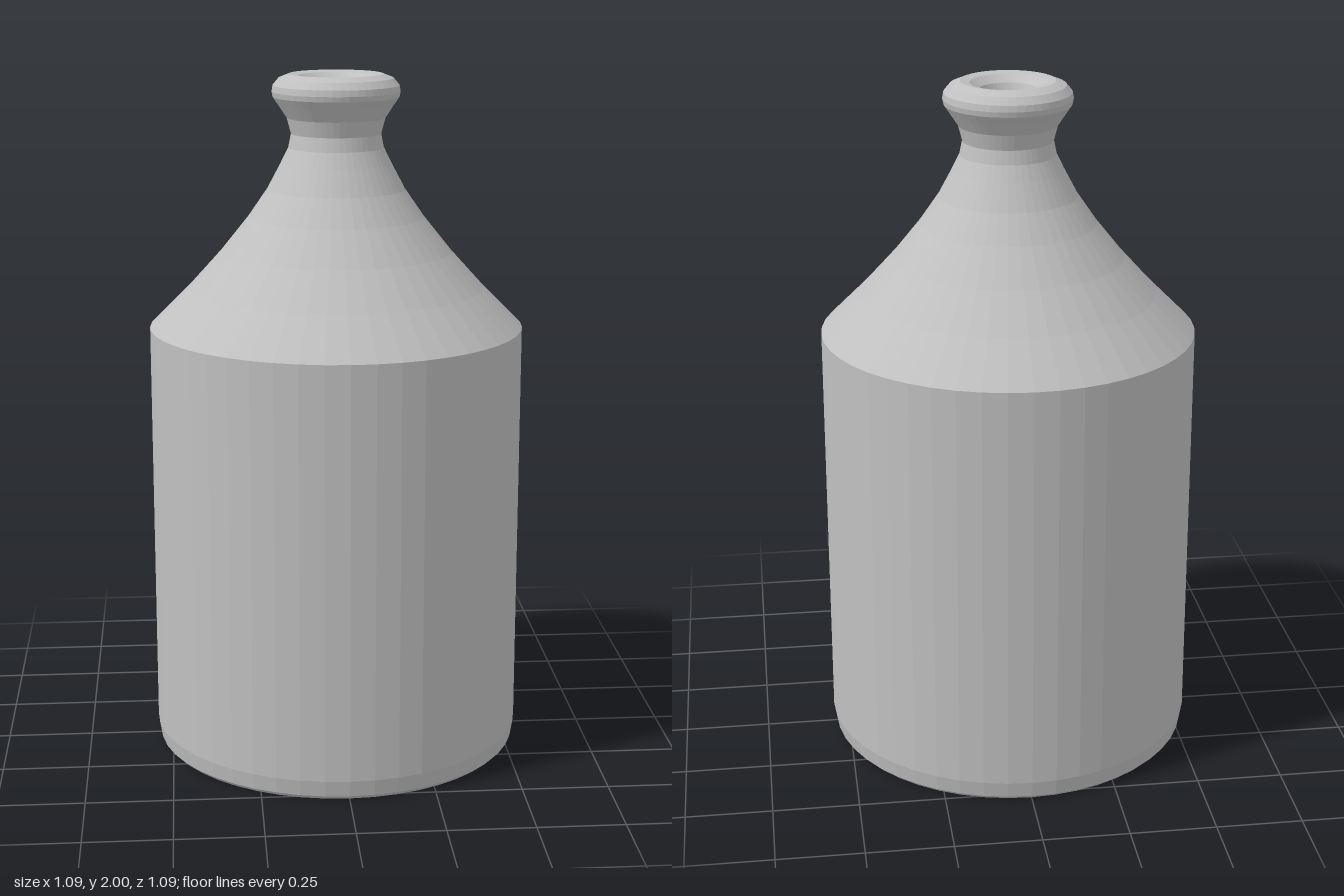
import * as THREE from 'three';

const SEGMENTS = 48;

export function createModel() {
  const group = new THREE.Group();
  group.name = 'bottle';

  const stoneware = new THREE.MeshStandardMaterial({ color: 0xc0c0c0, flatShading: true });
  stoneware.name = 'grey stoneware';

  // Turn a profile of [radius, height] pairs, listed along the outside upward
  const turn = (name, profile) => {
    const points = profile.map(([r, y]) => new THREE.Vector2(r, y));
    const mesh = new THREE.Mesh(new THREE.LatheGeometry(points, SEGMENTS), stoneware);
    mesh.name = name;
    group.add(mesh);
  };

  // Flat base, small rounded foot and straight wall
  turn('body', [[0, 0], [0.525, 0], [0.537, 0.012], [0.545, 0.06], [0.545, 1.27]]);

  // Sloping shoulder sweeping up into the narrow neck
  turn('shoulder', [
    [0.545, 1.27], [0.43, 1.385], [0.335, 1.49], [0.255, 1.59],
    [0.2, 1.67], [0.16, 1.745], [0.138, 1.79], [0.13, 1.83],
  ]);

  // Flared neck and rounded lip
  turn('lip', [
    [0.13, 1.83], [0.142, 1.875], [0.165, 1.91], [0.182, 1.935], [0.185, 1.95],
    [0.182, 1.968], [0.165, 1.988], [0.135, 2], [0.108, 1.995],
  ]);

  // Hollow mouth with a dished well below its throat
  turn('mouth', [
    [0.108, 1.995], [0.082, 1.975], [0.066, 1.935], [0.06, 1.89],
    [0.07, 1.82], [0.03, 1.77], [0.016, 1.74], [0, 1.74],
  ]);

  return group;
}
